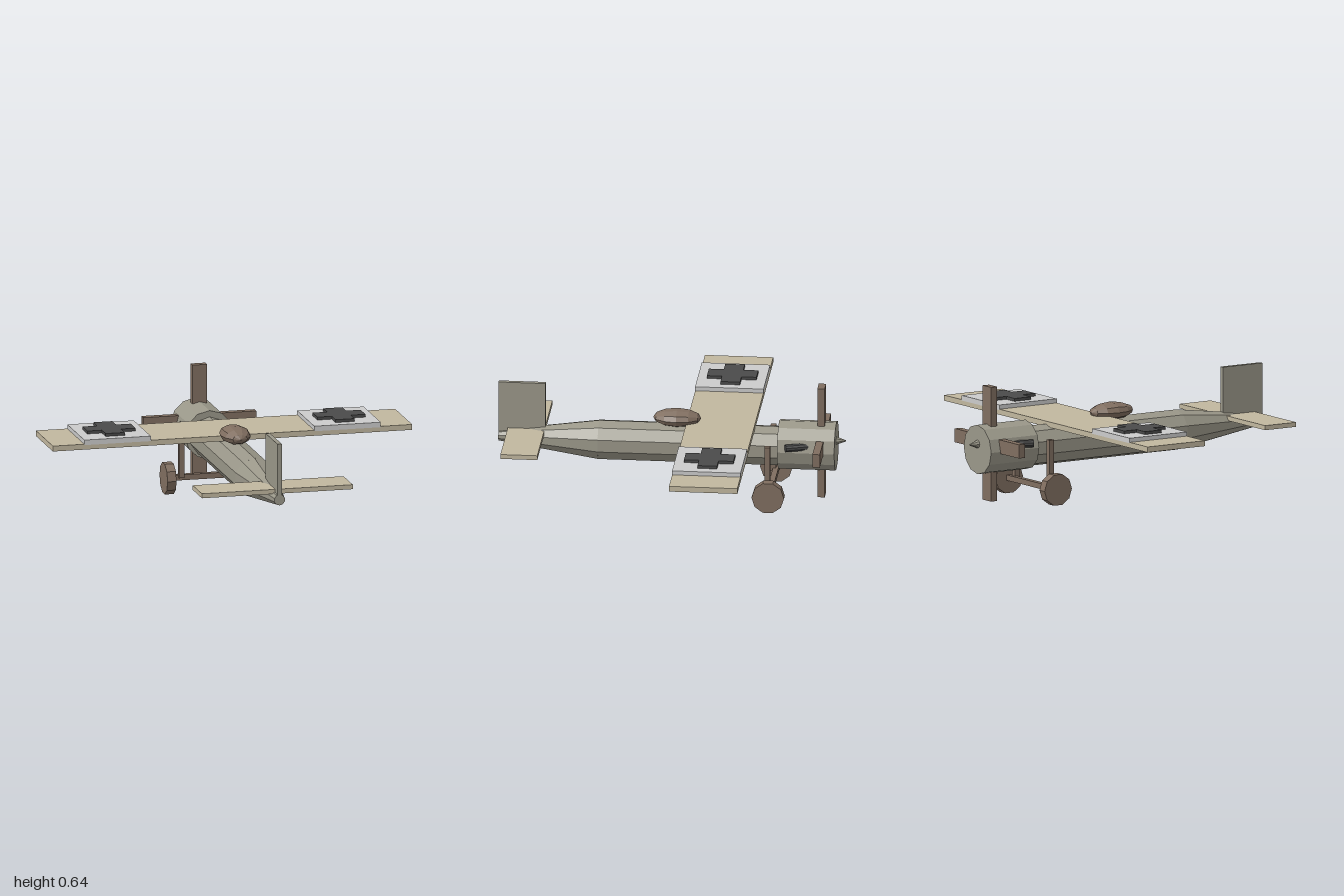
import * as THREE from 'three';

const mat = (name, color) => {
  const m = new THREE.MeshStandardMaterial({ color, flatShading: true });
  m.name = name;
  return m;
};

export function createModel() {
  const plane = new THREE.Group();
  plane.name = 'airplane';

  const hull = mat('hullGrey', 0x9a9789);
  const canvas = mat('canvasTan', 0xc1b79f);
  const white = mat('panelWhite', 0xcbcbcb);
  const dark = mat('darkGrey', 0x4a4a4a);
  const wood = mat('woodBrown', 0x806e60);

  const add = (name, geo, material, x = 0, y = 0, z = 0) => {
    const mesh = new THREE.Mesh(geo, material);
    mesh.name = name;
    mesh.position.set(x, y, z);
    plane.add(mesh);
    return mesh;
  };
  // box given by its min and max corners
  const box = (name, material, [x0, y0, z0], [x1, y1, z1]) =>
    add(name, new THREE.BoxGeometry(x1 - x0, y1 - y0, z1 - z0), material,
      (x0 + x1) / 2, (y0 + y1) / 2, (z0 + z1) / 2);
  // tube along z from z0 (radius r0) to z1 (radius r1)
  const tubeZ = (name, material, y, z0, r0, z1, r1, sides) =>
    add(name, new THREE.CylinderGeometry(r1, r0, z1 - z0, sides).rotateX(Math.PI / 2),
      material, 0, y, (z0 + z1) / 2);

  // fuselage, nose towards -z
  tubeZ('fuselage', hull, 0.29, -0.6, 0.11, 0.395, 0.11, 10);
  const tail = tubeZ('tailCone', hull, 0.2925, 0.395, 0.11, 0.94, 0.03, 10);
  tail.rotation.x = -0.009;
  tubeZ('cowling', hull, 0.3, -0.89, 0.135, -0.58, 0.135, 12);
  tubeZ('spinner', hull, 0.33, -0.94, 0.004, -0.885, 0.025, 8);

  // propeller
  box('propellerVertical', wood, [-0.04, 0.015, -0.83], [0.04, 0.64, -0.79]);
  box('propellerHorizontal', wood, [-0.315, 0.29, -0.83], [0.315, 0.365, -0.79]);

  // wing and tail surfaces
  box('wing', canvas, [-1, 0.385, -0.45], [1, 0.415, -0.08]);
  box('stabilizer', canvas, [-0.42, 0.318, 0.69], [0.42, 0.343, 0.89]);
  box('fin', hull, [-0.012, 0.3, 0.685], [0.012, 0.605, 0.94]);

  // cockpit bulge, poles along z
  const bulge = add('cockpit', new THREE.SphereGeometry(1, 10, 6).rotateX(Math.PI / 2),
    wood, 0, 0.432, -0.027);
  bulge.scale.set(0.082, 0.048, 0.13);

  // plus-shaped wing marking
  const a = 0.134, b = 0.053;
  const plus = new THREE.Shape([
    [-b, -a], [b, -a], [b, -b], [a, -b], [a, b], [b, b],
    [b, a], [-b, a], [-b, b], [-a, b], [-a, -b], [-b, -b],
  ].map(([x, y]) => new THREE.Vector2(x, y)));
  const plusGeo = new THREE.ExtrudeGeometry(plus, { depth: 0.016, bevelEnabled: false })
    .rotateX(-Math.PI / 2);

  // axle
  box('axle', wood, [-0.22, 0.07, -0.56], [0.22, 0.1, -0.53]);

  for (const s of [1, -1]) {
    const side = s > 0 ? 'left' : 'right';

    // raised wing panel with marking
    const panel = add(side + 'WingPanel', new THREE.BoxGeometry(0.37, 0.028, 0.37), white,
      s * 0.64, 0.424, -0.265);
    panel.scale.z = 1.002;
    add(side + 'WingMarking', plusGeo, dark, s * 0.64, 0.438, -0.265);

    // exhaust pipe, slanting outwards to the rear
    const pipe = add(side + 'Exhaust',
      new THREE.CylinderGeometry(0.021, 0.021, 0.125, 10).rotateX(Math.PI / 2),
      dark, s * 0.127, 0.33, -0.686);
    pipe.rotation.y = s * 0.33;

    // landing gear
    add(side + 'Wheel',
      new THREE.CylinderGeometry(0.088, 0.088, 0.05, 10).rotateZ(Math.PI / 2),
      wood, s * 0.24, 0.084, -0.543);
    add(side + 'Strut', new THREE.BoxGeometry(0.03, 0.26, 0.03), wood,
      s * 0.17, 0.215, -0.532);
  }
  return plane;
}
